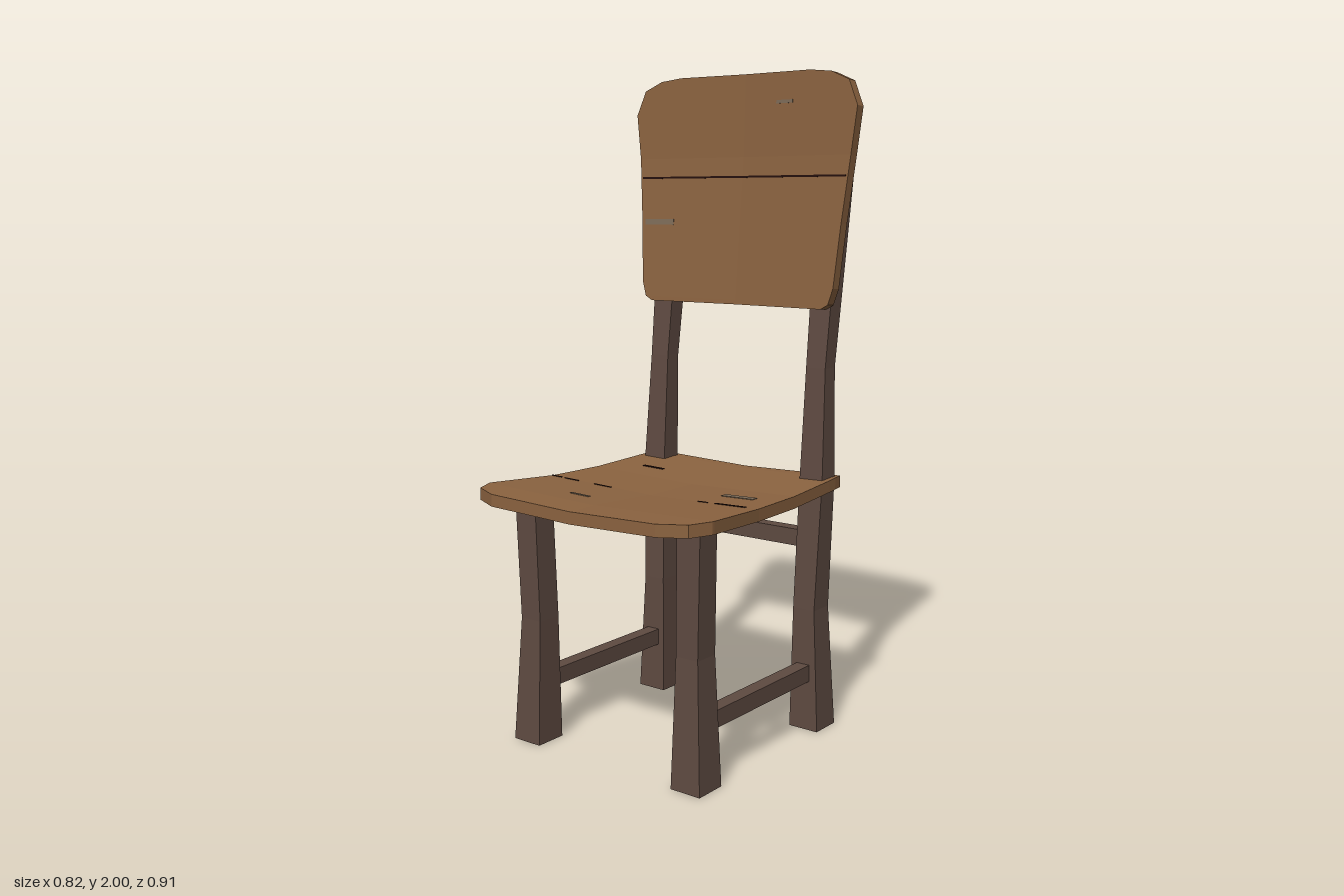
import * as THREE from 'three';

const mat = (name, color) => {
  const m = new THREE.MeshStandardMaterial({ color });
  m.name = name;
  return m;
};

// Bent board: rows are [v, halfWidth]; point(x, v) gives its face, offset its thickness.
// Group 0 is the body, group 1 the rim of the last row.
function slab(rows, point, offset, cx = 0) {
  const cols = [-1, -0.5, 0, 0.5, 1];
  const face = rows.map(([v, w]) => cols.map((t) => point(cx + t * w, v)));
  const back = face.map((r) => r.map((p) => p.clone().add(offset)));
  const out = [];
  const quad = (a, b, c, d) => [a, b, c, a, c, d].forEach((p) => out.push(p));
  const n = rows.length - 1, m = cols.length - 1;
  for (let i = 0; i < n; i++) {
    for (let j = 0; j < m; j++) {
      quad(face[i][j], face[i][j + 1], face[i + 1][j + 1], face[i + 1][j]);
      quad(back[i][j], back[i + 1][j], back[i + 1][j + 1], back[i][j + 1]);
    }
    quad(back[i][m], back[i + 1][m], face[i + 1][m], face[i][m]);
    quad(face[i][0], face[i + 1][0], back[i + 1][0], back[i][0]);
  }
  for (let j = 0; j < m; j++) quad(back[0][j], back[0][j + 1], face[0][j + 1], face[0][j]);
  const bodyCount = out.length;
  for (let j = 0; j < m; j++) quad(face[n][j], face[n][j + 1], back[n][j + 1], back[n][j]);
  const g = new THREE.BufferGeometry().setFromPoints(out);
  g.addGroup(0, bodyCount, 0);
  g.addGroup(bodyCount, out.length - bodyCount, 1);
  g.computeVertexNormals();
  return g;
}

// Bent square post: sections are [y, xInner, xOuter, zBack, zFront], top slopes by tilt.
function post(sections, side, tilt) {
  const n = sections.length - 1;
  const box = new THREE.BoxGeometry(1, 1, 1, 1, n, 1);
  const p = box.attributes.position;
  for (let i = 0; i < p.count; i++) {
    const k = Math.round((p.getY(i) + 0.5) * n);
    const [y, xi, xo, zb, zf] = sections[k];
    const x = (side * (xi + xo)) / 2 + p.getX(i) * (xo - xi);
    const front = p.getZ(i) > 0;
    p.setXYZ(i, x, y - (k === n && !front ? tilt : 0), front ? zf : zb);
  }
  const g = box.toNonIndexed();
  g.computeVertexNormals();
  return g;
}

export function createModel() {
  const group = new THREE.Group();
  const wood = mat('seat wood', 0x8b6340);
  const dark = mat('dark leg wood', 0x5e4a41);
  const grain = mat('end grain', 0x8b7358);
  const rim = mat('charcoal rim', 0x393b3e);
  const seam = mat('dark seam', 0x230f0c);
  const worn = mat('worn grey', 0x7d6b58);
  const add = (name, geo, material) => {
    const mesh = new THREE.Mesh(geo, material);
    mesh.name = name;
    group.add(mesh);
    return mesh;
  };

  // Seat, dished towards the middle
  const clamp = THREE.MathUtils.clamp;
  const seatPoint = (x, z) => new THREE.Vector3(
    x, 0.764 + 0.03 * Math.abs(x) + 0.013 * clamp((Math.abs(z) - 0.1) / 0.25, 0, 1), z);
  const seatRows = [[0.452, 0.3], [0.415, 0.382], [0.35, 0.41], [0.34, 0.41], [0.1, 0.386],
    [-0.1, 0.374], [-0.31, 0.362], [-0.35, 0.358], [-0.39, 0.35]];
  add('seat', slab(seatRows, seatPoint, new THREE.Vector3(0, -0.036, 0)), [wood, rim]);

  // Backrest, leaning back and bowed
  const backPoint = (x, y) => new THREE.Vector3(
    x, y, -0.325 + 0.05 * Math.abs(x) - 0.04 * clamp((y - 1.3) / 0.45, 0, 1)
      - 0.008 * clamp((y - 1.75) / 0.25, 0, 1));
  const backRows = [[1.298, 0.32], [1.312, 0.345], [1.36, 0.36], [1.55, 0.374], [1.75, 0.393],
    [1.89, 0.41], [1.965, 0.378], [1.992, 0.315], [2.0, 0.24]];
  add('backrest', slab(backRows, backPoint, new THREE.Vector3(0, -0.002, -0.034)), [wood, wood]);

  // Legs with lighter end grain
  const legMaterials = [dark, dark, grain, grain, dark, dark];
  const frontLeg = [[0, 0.25, 0.35, 0.22, 0.322], [0.38, 0.255, 0.33, 0.225, 0.305],
    [0.755, 0.263, 0.342, 0.235, 0.312]];
  const backLeg = [[0, 0.25, 0.35, -0.382, -0.28], [0.38, 0.255, 0.33, -0.366, -0.285],
    [0.78, 0.262, 0.342, -0.371, -0.3], [1.12, 0.265, 0.332, -0.378, -0.323],
    [1.72, 0.258, 0.342, -0.454, -0.387]];
  for (const side of [1, -1]) {
    const label = side > 0 ? 'left' : 'right';
    add(label + 'FrontLeg', post(frontLeg, side, 0), legMaterials);
    add(label + 'BackLeg', post(backLeg, side, 0.012), legMaterials);
    // Side stretcher
    add(label + 'Stretcher', new THREE.BoxGeometry(0.045, 0.052, 0.54), dark)
      .position.set(side * 0.295, 0.181, -0.028);
  }
  // Rail between the back legs
  add('backRail', new THREE.BoxGeometry(0.55, 0.052, 0.045), dark).position.set(0, 0.595, -0.328);

  // Thin seams and worn patches: [x0, x1, v, halfHeight]
  const marks = (name, point, lift, list, material) => list.forEach(([x0, x1, v, h]) => {
    const w = (x1 - x0) / 2;
    const geo = slab([[v + h * lift.y, w], [v - h * lift.y, w]].map(([a, b]) => [a, b]),
      (x, u) => point(x, u).addScaledVector(lift, 0.002),
      lift.clone().multiplyScalar(-0.003), (x0 + x1) / 2);
    add(name, geo, [material, material]);
  });
  const up = new THREE.Vector3(0, 1, 0);
  const forward = new THREE.Vector3(0, -0.0001, 1);
  marks('seatSeam', seatPoint, up, [[-0.385, -0.345, 0.104, 0.003], [-0.33, -0.275, 0.106, 0.002],
    [-0.21, -0.145, 0.106, 0.002], [0.18, 0.215, 0.106, 0.002], [0.24, 0.345, 0.105, 0.004],
    [-0.26, -0.18, -0.192, 0.005]], seam);
  marks('seatWear', seatPoint, up, [[0.19, 0.3, -0.005, 0.012], [-0.16, -0.09, 0.267, 0.005]], worn);
  forward.y = -1e-9;
  const plate = (name, x0, x1, y, h, material) => add(name, slab([[y - h, (x1 - x0) / 2], [y + h, (x1 - x0) / 2]],
    (x, v) => backPoint(x, v).add(new THREE.Vector3(0, 0, 0.002)),
    new THREE.Vector3(0, 0, -0.003), (x0 + x1) / 2), [material, material]);
  plate('backrestSeam', -0.38, 0.38, 1.69, 0.003, seam);
  plate('backrestWear', -0.36, -0.25, 1.55, 0.009, worn);
  plate('backrestWear', 0.12, 0.18, 1.912, 0.005, worn);
  return group;
}
